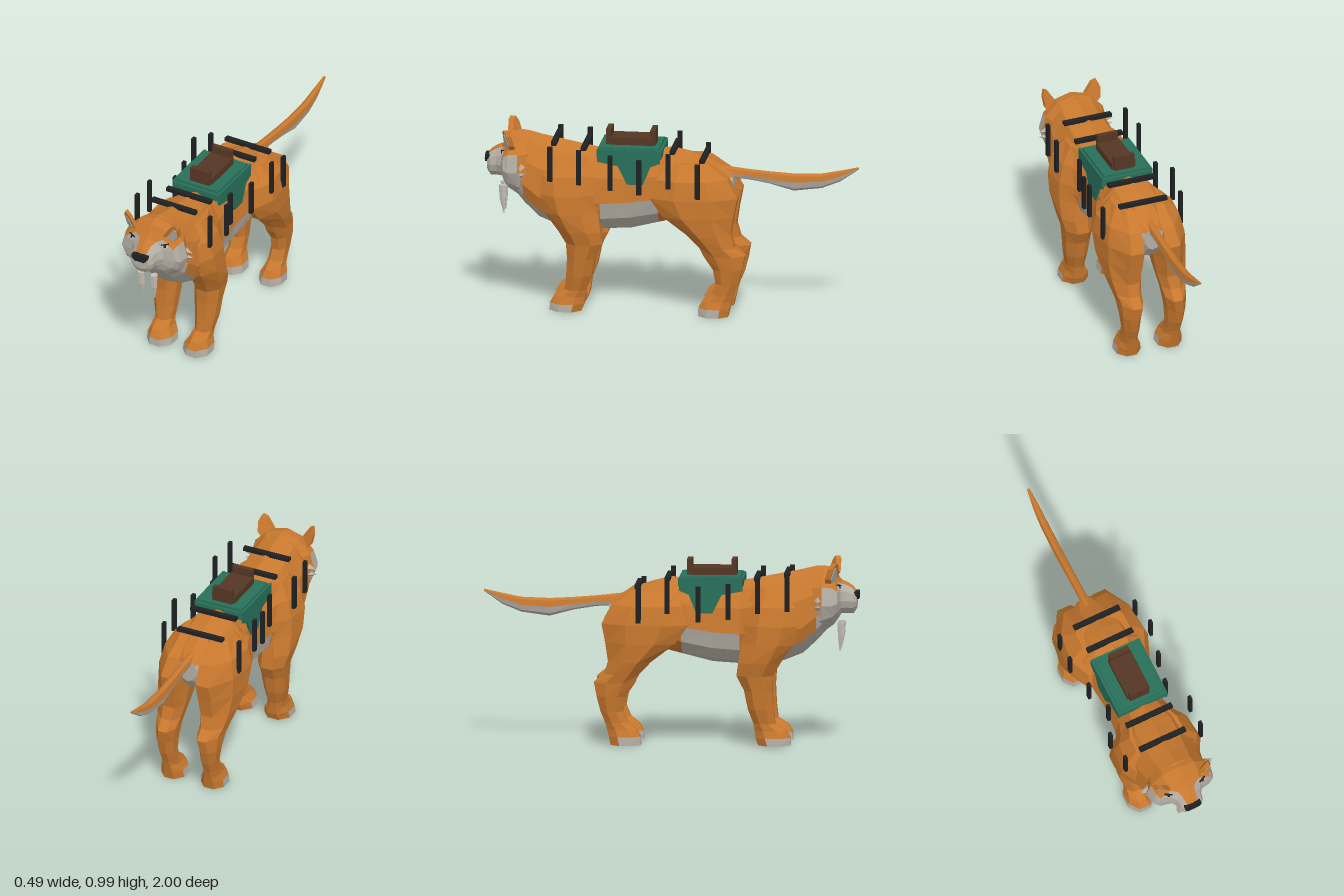
import * as THREE from 'three';

const paint = (name, color) =>
  Object.assign(new THREE.MeshStandardMaterial({ color, flatShading: true }), { name });

export function createModel() {
  const root = new THREE.Group();
  root.name = 'saddledBigCat';
  const orange = paint('orangeFur', 0xc8782e), grey = paint('paleFur', 0xb4aea4);
  const ivory = paint('ivory', 0xc4beb4), black = paint('blackStrap', 0x1e2022);
  const green = paint('greenCloth', 0x28705a), brown = paint('brownLeather', 0x553624);

  const add = (name, geo, mat, parent = root) => {
    const m = new THREE.Mesh(geo, mat);
    m.name = name;
    parent.add(m);
    return m;
  };
  const box = (name, mat, x, y, z, w, h, d, parent = root) => {
    const m = add(name, new THREE.BoxGeometry(w, h, d), mat, parent);
    m.position.set(x, y, z);
    return m;
  };
  const slab = (pts, depth) => new THREE.ExtrudeGeometry(
    new THREE.Shape(pts.map((p) => new THREE.Vector2(...p))), { depth, bevelEnabled: false });

  // Cross-section across z: height span, half width, height of the widest point
  const ringZ = (n) => ([z, top, bot, w, mid]) => Array.from({ length: n }, (_, j) => {
    const a = (j / n) * Math.PI * 2, c = Math.cos(a);
    return [w * Math.sin(a), mid + c * (c > 0 ? top - mid : mid - bot), z];
  });
  // Flat-sided octagon across y, for legs; s mirrors it, tuck draws the back inwards
  const ringY = (s, n = 8) => ([y, zf, zb, xi, xo, tuck = 0]) => Array.from({ length: n }, (_, j) => {
    const a = ((j + 0.5) / n) * Math.PI * 2, k = 1 / Math.cos(Math.PI / n), c = k * Math.cos(a);
    const x = (xi + xo) / 2 + (xo - xi) / 2 * k * Math.sin(a) - tuck * Math.max(0, -c);
    return [s * x, y, (zf + zb) / 2 + (zf - zb) / 2 * c];
  });

  // Skin rings into a closed solid; pick(row, degrees from first point) gives the colour
  function loft(name, rings, pick, capA, capB, offset = 0) {
    const buckets = new Map(), n = rings[0].length;
    let volume = 0;
    const tri = (mat, a, b, c) => {
      if (!buckets.has(mat)) buckets.set(mat, []);
      buckets.get(mat).push([a, b, c]);
      const [p, q, r] = [a, b, c].map((v) => new THREE.Vector3(...v));
      volume += p.dot(q.cross(r));
    };
    for (let i = 0; i < rings.length - 1; i++) for (let j = 0; j < n; j++) {
      const k = (j + 1) % n, A = rings[i], B = rings[i + 1];
      let deg = ((j + 0.5 + offset) / n) * 360 % 360;
      if (deg > 180) deg = 360 - deg;
      const mat = pick(i, deg);
      tri(mat, A[j], B[j], A[k]);
      tri(mat, A[k], B[j], B[k]);
    }
    const last = rings[rings.length - 1];
    for (let j = 1; j < n - 1; j++) {
      tri(capA, rings[0][0], rings[0][j], rings[0][j + 1]);
      tri(capB, last[0], last[j + 1], last[j]);
    }
    const geo = new THREE.BufferGeometry(), pos = [], mats = [...buckets.keys()];
    mats.forEach((m, i) => {
      const start = pos.length / 3;
      for (const [a, b, c] of buckets.get(m)) pos.push(...a, ...(volume < 0 ? [...c, ...b] : [...b, ...c]));
      geo.addGroup(start, pos.length / 3 - start, i);
    });
    geo.setAttribute('position', new THREE.Float32BufferAttribute(pos, 3));
    geo.computeVertexNormals();
    return add(name, geo, mats);
  }

  // Torso with pale throat, belly and rump
  loft('body', [
    [.86, .93, .65, .14, .78], [.78, .955, .56, .175, .70], [.70, .935, .485, .19, .64],
    [.60, .915, .445, .205, .61], [.50, .895, .43, .205, .63], [.37, .87, .425, .155, .60],
    [.22, .865, .435, .145, .61], [.06, .88, .475, .165, .64], [0, .89, .49, .19, .68],
    [-.10, .865, .52, .19, .68], [-.20, .83, .54, .165, .69], [-.27, .795, .57, .11, .70],
    [-.33, .77, .64, .05, .72],
  ].map(ringZ(12)), (i, d) =>
    (i < 1 && d > 90) || (i < 4 && d > 120) || ((i === 5 || i === 6) && d > 90) || (i === 11 && d > 60)
      ? grey : orange, grey, grey);

  // Head: flat face stepping into a narrow muzzle
  loft('head', [
    [.76, .945, .58, .165, .76], [.81, .955, .60, .188, .76], [.865, .945, .64, .18, .76],
    [.89, .90, .675, .165, .77], [.905, .88, .70, .10, .775], [.935, .868, .70, .075, .775],
    [.97, .845, .70, .068, .77], [.988, .815, .73, .05, .765],
  ].map(ringZ(12)), (i, d) => (d < (i < 3 ? 60 : 30) || (i === 0 && d < 90) ? orange : grey), orange, grey);
  add('nose', slab([[-.03, .78], [.03, .78], [.047, .80], [.045, .818], [.02, .823], [-.02, .823],
    [-.045, .818], [-.047, .80]], .03), black).position.z = .97;

  // Tail, pale underneath
  loft('tail', [
    [-.24, .80, .73, .024, .765], [-.40, .782, .725, .023, .75], [-.52, .772, .705, .023, .735],
    [-.65, .765, .67, .024, .72], [-.80, .77, .69, .023, .73], [-.90, .79, .73, .018, .76],
    [-1, .812, .80, .008, .806],
  ].map(ringZ(8)), (i, d) => (d > 90 ? grey : orange), orange, orange);

  // Legs from sole to shoulder or hip: y, front z, back z, inner x, outer x, tuck
  const foreLeg = [
    [0.005, .64, .47, .035, .185], [.045, .638, .455, .04, .182], [.085, .615, .45, .065, .17],
    [.12, .56, .445, .072, .168], [.20, .55, .415, .065, .185], [.30, .545, .395, .055, .195],
    [.38, .55, .355, .05, .205], [.45, .59, .365, .045, .222], [.55, .66, .38, .06, .235, .03],
    [.65, .70, .38, .06, .232, .035], [.75, .70, .40, .05, .205, .03], [.84, .65, .45, .05, .14],
  ];
  const hindLeg = [
    [0, -.155, -.315, .05, .185], [.045, -.158, -.325, .055, .182], [.085, -.18, -.335, .075, .168],
    [.12, -.225, -.345, .08, .165], [.18, -.25, -.37, .08, .168], [.26, -.235, -.39, .075, .178],
    [.335, -.185, -.405, .07, .188, .015], [.38, -.165, -.35, .065, .20, .015], [.45, -.10, -.33, .055, .22, .025],
    [.55, .03, -.345, .05, .235, .035], [.65, .10, -.365, .05, .235, .04], [.75, .07, -.31, .05, .215, .04],
    [.83, 0, -.20, .03, .14],
  ];
  const tusk = [[.655, .925, .885, .022, .056], [.58, .92, .888, .024, .052], [.50, .90, .896, .036, .04]];
  const ear = [[.085, .91], [.125, .972], [.15, .987], [.163, .955], [.157, .90], [.13, .865]];
  const earInner = [[.10, .90], [.143, .962], [.156, .95], [.152, .90], [.13, .872]];

  // Ear outline, leaning forwards with height and turned outwards
  const earPlate = (pts, s, z, depth) => {
    const g = slab(pts.map(([x, y]) => [s * x, y]), depth), p = g.attributes.position;
    for (let i = 0; i < p.count; i++)
      p.setZ(i, p.getZ(i) + z + (p.getY(i) - .88) * .35 - (Math.abs(p.getX(i)) - .125) * .5);
    g.computeVertexNormals();
    return g;
  };

  for (const s of [1, -1]) {
    const side = s > 0 ? 'left' : 'right';
    for (const [name, rows] of [['ForeLeg', foreLeg], ['HindLeg', hindLeg]])
      loft(side + name, rows.map(ringY(s)), (i, d) => (i === 0 && d < 120 ? grey : orange), grey, orange, .5);
    loft(side + 'Tusk', tusk.map(ringY(s, 6)), () => ivory, ivory, ivory);

    add(side + 'Ear', earPlate(ear, s, .835, .028), orange);
    add(side + 'EarInner', earPlate(earInner, s, .863, .005), grey);

    // Cheek tufts
    for (const [y, tilt] of [[.785, 1.75], [.75, 1.45]]) {
      const tuft = add(side + 'CheekTuft', new THREE.ConeGeometry(.025, .06, 4), grey);
      tuft.position.set(s * .182, y, .79);
      tuft.rotation.z = -s * tilt;
    }

    // Eye: pale plate, pupil and dark lid
    const eye = new THREE.Group();
    eye.name = side + 'Eye';
    eye.position.set(s * .1, .852, .899);
    eye.lookAt(s * .45, 1.132, 1.8);
    box('eyeWhite', ivory, 0, 0, 0, .034, .014, .006, eye);
    box('pupil', black, 0, 0, .002, .012, .014, .006, eye);
    box('eyelid', black, 0, .01, .001, .042, .005, .008, eye).rotation.z = s * .2;
    root.add(eye);

    // Saddle cloth flap
    const flap = slab([[.385, .90], [.045, .90], [.05, .83], [.10, .81], [.14, .71], [.225, .71],
      [.275, .81], [.385, .83]], .012).rotateY(-Math.PI / 2);
    add(side + 'Flap', flap, green).position.x = s > 0 ? .144 : -.132;

    // Upright strap pieces: x, y, z
    for (const [x, y, z] of [[.222, .83, .628], [.235, .82, .472], [.168, .777, .312],
      [.205, .767, .153], [.238, .815, -.008], [.222, .76, -.163]])
      box(side + 'Strap', black, s * x, y, z, .018, .19, .026);
  }

  // Straps across the back
  for (const [y, z] of [[.917, .62], [.894, .46], [.89, -.015], [.847, -.175]])
    box('backStrap', black, 0, y, z, .27, .02, .028);

  // Saddle cloth and seat
  box('saddleCloth', green, 0, .872, .215, .278, .04, .345);
  box('saddlePad', green, 0, .895, .215, .255, .022, .315);
  box('seat', brown, 0, .923, .215, .132, .044, .235);
  for (const z of [.335, .098]) box('seatEnd', brown, 0, .945, z, .114, .085, .028);

  return root;
}
